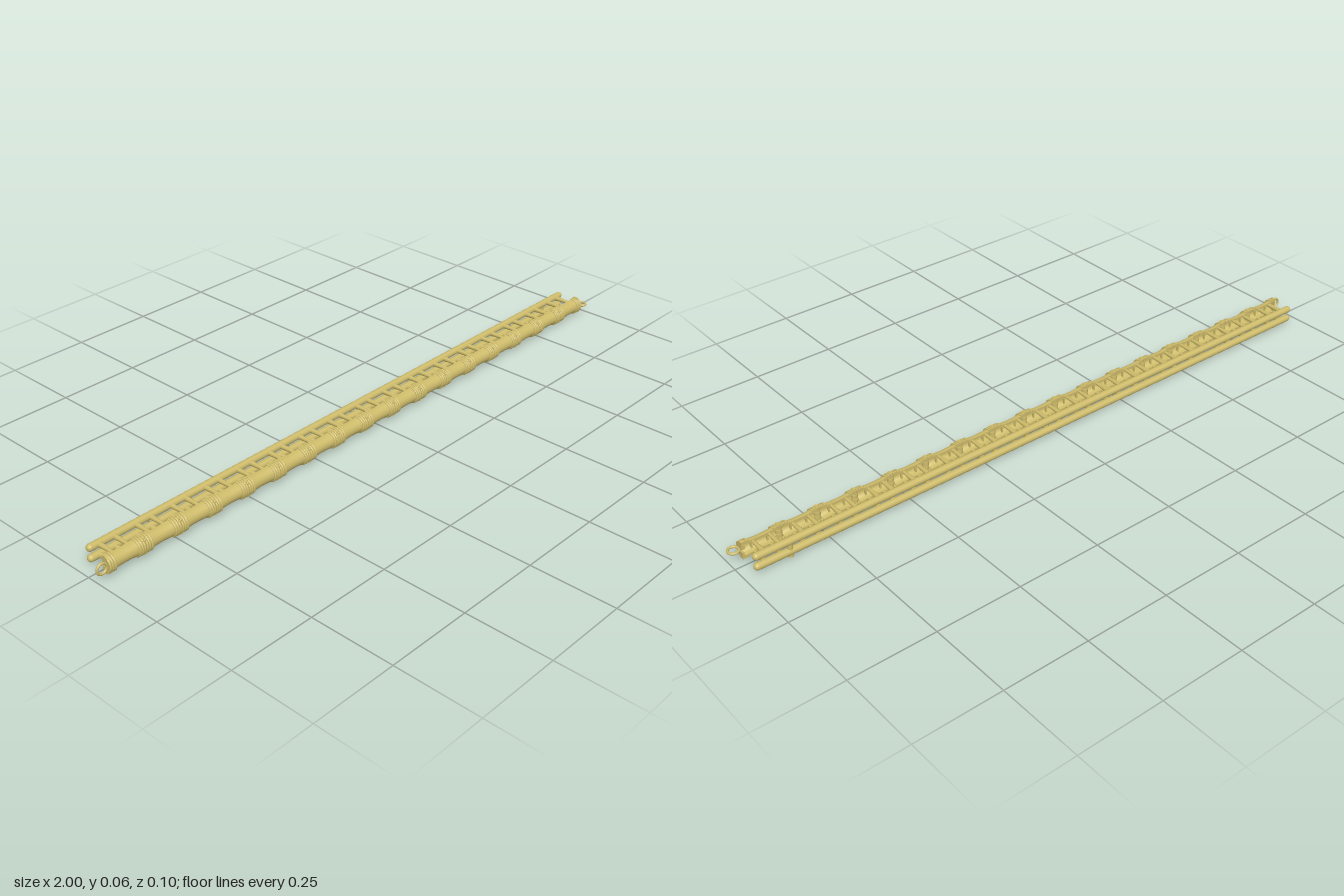
import * as THREE from 'three';

const PITCH = 0.1139, LINKS = 17, MID_Y = 0.031, BACK_Z = 0.016;
const gold = new THREE.MeshStandardMaterial({ color: 0xcdbb6a });

function add(parent, geometry, name, x = 0, y = 0, z = 0) {
  const mesh = new THREE.Mesh(geometry, gold);
  mesh.name = name;
  mesh.position.set(x, y, z);
  parent.add(mesh);
  return mesh;
}

// Half-round trough along x, open at the back; stations are [x, half height, depth]
function troughGeometry(stations, wall) {
  const n = 14, loop = [], pos = [], index = [];
  for (let i = 0; i <= n; i++) loop.push([(i / n) * Math.PI, 0]);
  for (let i = n; i >= 0; i--) loop.push([(i / n) * Math.PI, wall]);
  const m = loop.length;
  const put = ([x, h, d], [a, w]) => {
    const s = Math.pow(Math.sin(a) + 1e-9, 0.85);
    pos.push(x, MID_Y + (h - w) * Math.cos(a), BACK_Z + (d - w) * s);
  };
  // Each strip has its own corners around the loop, so wall edges stay sharp
  for (let k = 0; k < m; k++) {
    const base = pos.length / 3;
    stations.forEach(s => { put(s, loop[k]); put(s, loop[(k + 1) % m]); });
    for (let j = 0; j < stations.length - 1; j++) {
      const a = base + j * 2;
      index.push(a, a + 1, a + 2, a + 1, a + 3, a + 2);
    }
  }
  // End walls
  for (const [s, flip] of [[stations[0], true], [stations[stations.length - 1], false]]) {
    const base = pos.length / 3;
    loop.forEach(p => put(s, p));
    for (let i = 0; i < n; i++) {
      const a = base + i, b = a + 1, c = base + m - 2 - i, d = base + m - 1 - i;
      if (flip) index.push(a, d, b, b, d, c);
      else index.push(a, b, d, b, c, d);
    }
  }
  const g = new THREE.BufferGeometry();
  g.setAttribute('position', new THREE.Float32BufferAttribute(pos, 3));
  g.setIndex(index);
  g.computeVertexNormals();
  return g;
}

export function createModel() {
  const model = new THREE.Group();
  model.name = 'linkedBandOnRods';

  // Shared parts of a link: waisted shell, rims and support posts
  const stations = [];
  for (let i = 0; i <= 10; i++) {
    const t = i / 5 - 1, flare = t * t;
    stations.push([t * 0.048, 0.021 + 0.003 * flare, 0.0255 + 0.003 * flare]);
  }
  const shell = troughGeometry(stations, 0.007);
  const rim = troughGeometry([[-0.003, 0.0245, 0.029], [-0.0015, 0.026, 0.031],
    [0.0015, 0.026, 0.031], [0.003, 0.0245, 0.029]], 0.008);
  const post = new THREE.CylinderGeometry(0.0045, 0.008, 0.056, 12);
  post.rotateX(Math.PI / 2);
  const pin = new THREE.CylinderGeometry(0.006, 0.006, 0.046, 12);
  const knuckle = new THREE.CylinderGeometry(0.0095, 0.0095, 0.012, 14);
  const strut = new THREE.BoxGeometry(0.005, 0.034, 0.006);

  for (let i = 0; i < LINKS; i++) {
    const link = new THREE.Group();
    link.name = 'link';
    link.position.x = (i - (LINKS - 1) / 2) * PITCH;
    model.add(link);
    add(link, shell, 'shell');
    for (const side of [-1, 1]) {
      for (const x of [0.038, 0.046, 0.053]) add(link, rim, 'rim', side * x);
      add(link, strut, 'innerStrut', side * 0.023, MID_Y, 0.03);
      for (const y of [0.0155, 0.0465]) add(link, post, 'supportPost', side * 0.023, y, -0.012);
    }
    // Hinge to the next link
    if (i < LINKS - 1) {
      add(link, pin, 'hingePin', PITCH / 2, MID_Y, 0.029);
      for (const y of [-0.014, 0, 0.014])
        add(link, knuckle, 'hingeKnuckle', PITCH / 2, MID_Y + y, 0.031);
    }
  }

  // Two long rods behind the links, with rounded ends
  for (const y of [0.0155, 0.0465]) {
    const rod = add(model, new THREE.CapsuleGeometry(0.0105, 1.917, 6, 16), 'rod', 0, y, -0.041);
    rod.rotation.z = Math.PI / 2;
  }
  add(model, new THREE.CylinderGeometry(0.008, 0.008, 0.048, 14), 'rodBridge', 0.865, 0.024, -0.041);

  // End lobes and rings; the two rings lie at right angles to each other
  const lobe = new THREE.Shape();
  lobe.moveTo(0, 0.005);
  lobe.lineTo(0, 0.026);
  lobe.lineTo(0.012, 0.026);
  lobe.quadraticCurveTo(0.024, 0.02, 0.028, 0.005);
  lobe.closePath();
  const lobeGeometry = new THREE.ExtrudeGeometry(lobe, { depth: 0.006, bevelEnabled: false });
  lobeGeometry.rotateY(-Math.PI / 2);
  lobeGeometry.translate(0.003, 0, 0);
  const ring = new THREE.TorusGeometry(0.0145, 0.0038, 10, 28);
  for (const side of [-1, 1]) {
    const end = new THREE.Group();
    end.name = side < 0 ? 'rightEnd' : 'leftEnd';
    model.add(end);
    add(end, lobeGeometry, 'endLobe', side * 0.964, MID_Y, BACK_Z);
    const lower = add(end, lobeGeometry, 'endLobe', side * 0.964, MID_Y, BACK_Z);
    lower.scale.y = -1;
    add(end, new THREE.BoxGeometry(0.014, 0.011, 0.012), 'ringStub', side * 0.96, MID_Y, 0.032);
    const loop = add(end, ring, 'endRing', side * 0.9815, MID_Y, side < 0 ? 0.031 : 0.034);
    if (side > 0) loop.rotation.x = Math.PI / 2;
  }
  return model;
}
